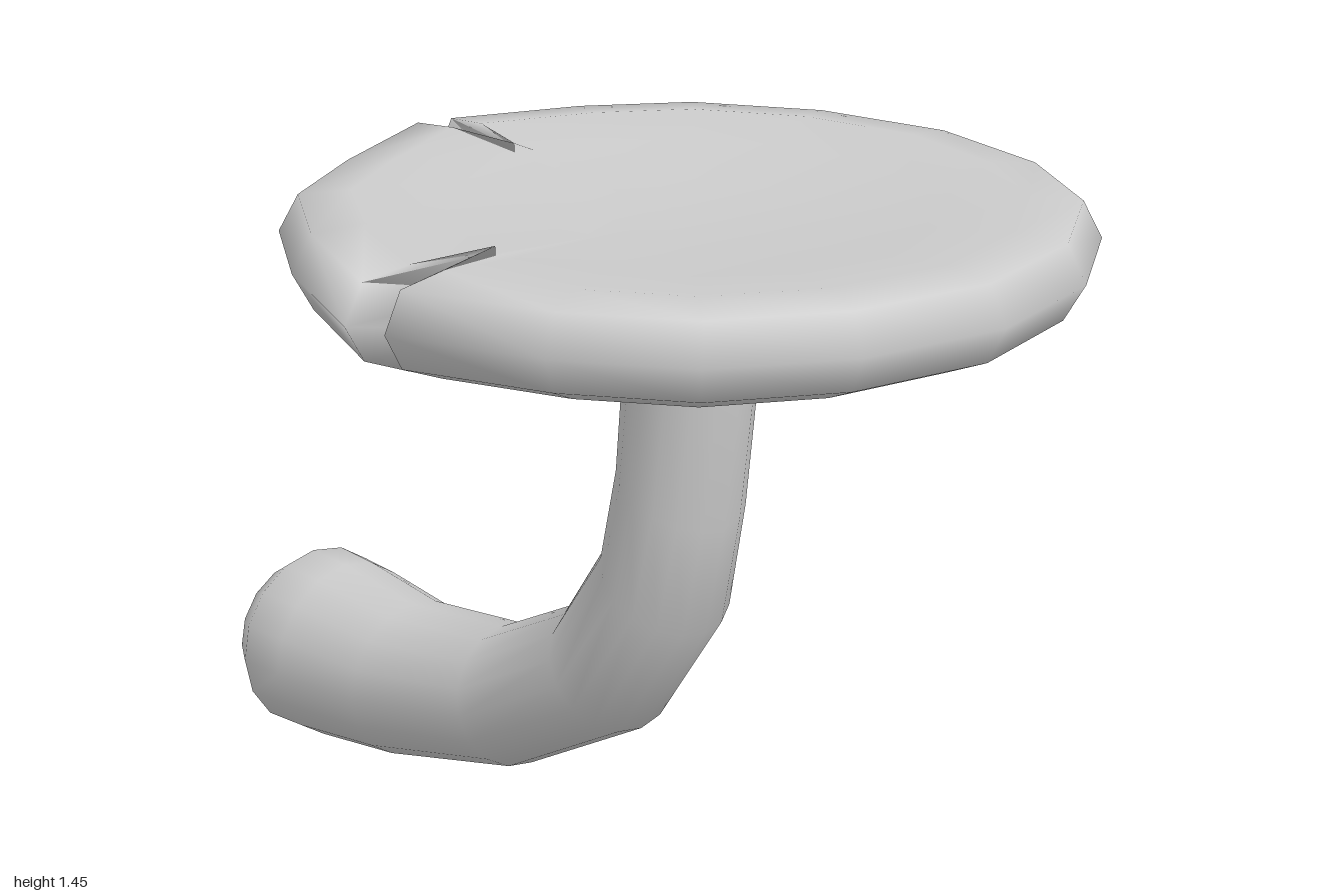
import * as THREE from 'three';
import { mergeVertices } from 'three/addons/utils/BufferGeometryUtils.js';

// Skin a stack of closed cross-sections that run from top to bottom
function loft(name, rings) {
  const n = rings[0].length;
  const index = [];
  for (let i = 0; i < rings.length - 1; i++) {
    for (let j = 0; j < n; j++) {
      const a = i * n + j, b = i * n + (j + 1) % n;
      index.push(a, b, a + n, b, b + n, a + n);
    }
  }
  let geometry = new THREE.BufferGeometry().setFromPoints(rings.flat());
  geometry.setIndex(index);
  geometry = mergeVertices(geometry);
  geometry.computeVertexNormals();
  const mesh = new THREE.Mesh(geometry, new THREE.MeshStandardMaterial({ color: 0xcccccc }));
  mesh.name = name;
  return mesh;
}

// Dished cap: a rim profile swept round an uneven outline with two splits
function makeCap() {
  const cx = 0.02, cz = 0.24, splitDepth = 0.6;
  // outline [x, z]; a third value marks the inner end of a split
  const outline = [
    [0.77, 0.24], [0.71, 0.53], [0.56, 0.77], [0.31, 0.93], [0.02, 0.99],
    [-0.27, 0.93], [-0.5, 0.79], [-0.65, 0.58], [-0.76, 0.305],
    [-0.78, 0.25, 1], [-0.78, 0.225], [-0.66, -0.07], [-0.51, -0.3], [-0.28, -0.43],
    [0.015, -0.56], [0.025, -0.56, 1], [0.09, -0.54], [0.36, -0.43], [0.56, -0.29], [0.71, -0.05],
  ];
  // [fraction of radius, height], top centre to bottom centre
  const profile = [
    [0, 1.41], [0.3, 1.415], [0.6, 1.432], [0.82, 1.45], [0.95, 1.44], [1, 1.37],
    [0.95, 1.3], [0.83, 1.26], [0.6, 1.24], [0.35, 1.217], [0.19, 1.2], [0, 1.195],
  ];
  return loft('cap', profile.map(([f, y]) => outline.map(([x, z, split]) => {
    const k = split ? Math.min(f, splitDepth) : f;
    return new THREE.Vector3(cx + (x - cx) * k, y, cz + (z - cz) * k);
  })));
}

// Bent stem swelling into a round bulb at the back
function makeStem() {
  const sides = 16;
  // outer z, outer y, inner z, inner y, half width, centre x
  const sections = [
    [0.40, 1.215, 0.10, 1.215, 0.15, 0.025],
    [0.38, 1.185, 0.12, 1.185, 0.127, 0.025],
    [0.375, 1.08, 0.115, 1.08, 0.125, 0.022],
    [0.345, 0.82, 0.11, 0.92, 0.13, 0.02],
    [0.30, 0.59, 0.08, 0.74, 0.14, 0.018],
    [0.13, 0.33, -0.04, 0.55, 0.152, 0.015],
    [-0.19, 0.14, -0.28, 0.42, 0.16, 0.01],
    [-0.56, 0.04, -0.56, 0.385, 0.172, 0.003],
    [-0.78, 0.01, -0.78, 0.408, 0.195, 0],
    [-0.88, 0.005, -0.89, 0.41, 0.203, 0],
    [-0.95, 0.055, -0.955, 0.365, 0.16, 0],
    [-0.985, 0.12, -0.988, 0.3, 0.09, 0],
    [-1, 0.21, -1, 0.21, 0, 0],
  ];
  return loft('stem', sections.map(([oz, oy, iz, iy, w, x]) =>
    Array.from({ length: sides }, (_, j) => {
      const a = (j / sides) * Math.PI * 2, s = Math.sin(a) / 2;
      return new THREE.Vector3(
        x + w * Math.cos(a),
        (oy + iy) / 2 + (oy - iy) * s,
        (oz + iz) / 2 + (oz - iz) * s,
      );
    })));
}

export function createModel() {
  const group = new THREE.Group();
  group.name = 'mushroom';
  group.add(makeCap(), makeStem());
  return group;
}
